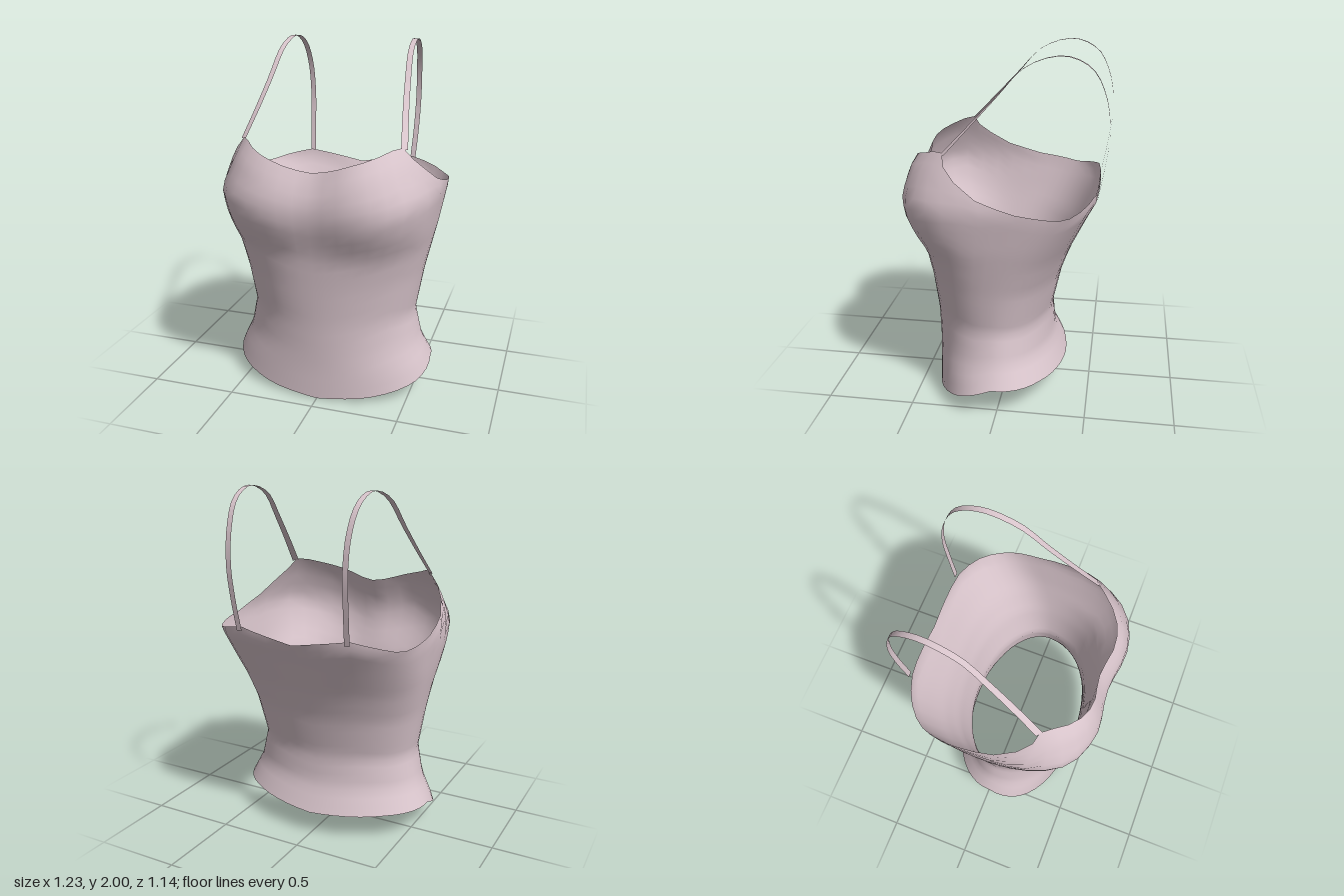
import * as THREE from 'three';

const fabric = new THREE.MeshStandardMaterial({ color: 0xd9c5cc, side: THREE.DoubleSide });
fabric.name = 'pale pink fabric';

// Horizontal sections: height, half width, side z, front z, back z, front and back squareness, centre dip
const SECTIONS = [
  [0.00, 0.66, 0.02, 0.41, -0.42, 2.1, 2.1, 0],
  [0.18, 0.59, 0.02, 0.41, -0.335, 2.1, 2.1, 0],
  [0.30, 0.53, 0.03, 0.415, -0.28, 2, 2, 0],
  [0.48, 0.49, 0.035, 0.425, -0.265, 2, 2, 0],
  [0.73, 0.53, 0.02, 0.45, -0.32, 2.2, 2.2, 0],
  [0.90, 0.565, -0.02, 0.47, -0.38, 2.6, 2.4, 0],
  [1.00, 0.585, -0.05, 0.52, -0.425, 3, 2.6, 0.02],
  [1.10, 0.60, -0.09, 0.565, -0.47, 3.3, 2.8, 0.035],
  [1.20, 0.615, -0.12, 0.577, -0.52, 3.5, 3, 0.04],
  [1.25, 0.615, -0.11, 0.572, -0.525, 3.3, 3, 0.05],
  [1.30, 0.60, -0.08, 0.565, -0.53, 3, 3, 0.06],
  [1.40, 0.56, 0, 0.535, -0.53, 2.7, 3, 0.08],
  [1.46, 0.53, 0, 0.49, -0.53, 2.7, 3, 0.08],
  [1.50, 0.52, 0, 0.44, -0.53, 2.7, 3, 0.08],
];

// Edge heights by angle in degrees: 0 front, 90 side, 180 back
const NECKLINE = [[0, 1.375], [10, 1.39], [18.5, 1.42], [26, 1.44], [37, 1.47], [45, 1.495], [52.5, 1.5],
  [67, 1.38], [72, 1.315], [78, 1.28], [90, 1.235], [124, 1.2], [150, 1.26], [180, 1.2]];
const HEM = [[0, 0], [25, 0.03], [59, 0.1], [90, 0.18], [135, 0.17], [180, 0.14]];

// Linear lookup in a table keyed by its first column
function lookup(table, key) {
  let i = 1;
  while (i < table.length - 1 && table[i][0] < key) i++;
  const a = table[i - 1], b = table[i];
  const t = THREE.MathUtils.clamp((key - a[0]) / (b[0] - a[0]), 0, 1);
  return a.map((v, k) => v + (b[k] - v) * t);
}

// Point on the garment at a given angle and height
function bodyPoint(deg, y) {
  const [, w, side, front, back, nFront, nBack, dip] = lookup(SECTIONS, y);
  const a = THREE.MathUtils.degToRad(deg), s = Math.sin(a), c = Math.cos(a);
  const n = c > 0 ? nFront : nBack;
  const r = (Math.abs(s) ** n + Math.abs(c) ** n) ** (-1 / n);
  const x = w * r * s;
  let z = side + r * c * (c > 0 ? front - side : side - back);
  if (c > 0) z -= dip * Math.exp(-((x / 0.16) ** 2));
  return [x, y, z];
}

// Grid of rows x columns, optionally closed around
function gridGeometry(rows, cols, closed, pointAt) {
  const pos = [], index = [];
  for (let r = 0; r <= rows; r++) {
    for (let c = 0; c < cols; c++) pos.push(...pointAt(r / rows, c));
  }
  for (let r = 0; r < rows; r++) {
    for (let c = 0; c < (closed ? cols : cols - 1); c++) {
      const a = r * cols + c, b = r * cols + (c + 1) % cols;
      index.push(a, b, b + cols, a, b + cols, a + cols);
    }
  }
  const g = new THREE.BufferGeometry();
  g.setAttribute('position', new THREE.Float32BufferAttribute(pos, 3));
  g.setIndex(index);
  g.computeVertexNormals();
  return g;
}

// Fitted tube of cloth between hem and neckline
function makeBody() {
  const cols = 48;
  const g = gridGeometry(24, cols, true, (t, c) => {
    const deg = c * 360 / cols, half = deg > 180 ? 360 - deg : deg;
    const bottom = lookup(HEM, half)[1], top = lookup(NECKLINE, half)[1];
    return bodyPoint(deg, bottom + (top - bottom) * t);
  });
  const mesh = new THREE.Mesh(g, fabric);
  mesh.name = 'bodice';
  return mesh;
}

// Flat ribbon over the shoulder, twisting to meet the neckline
function makeStrap(side) {
  const path = new THREE.CatmullRomCurve3([
    [0.455, 1.49, 0.29], [0.425, 1.64, 0.15], [0.4, 1.79, 0.01], [0.38, 1.945, -0.14], [0.368, 2, -0.33],
    [0.36, 1.94, -0.47], [0.35, 1.8, -0.545], [0.345, 1.61, -0.572], [0.34, 1.43, -0.553], [0.33, 1.24, -0.52],
  ].map(p => new THREE.Vector3(...p)));
  const g = gridGeometry(28, 2, false, (t, c) => {
    const p = path.getPoint(t), k = (c - 0.5) * 0.032;
    return [side * (p.x + k), p.y, p.z - k * 0.7 * Math.max(0, 1 - t * 3)];
  });
  // Reverse the mirrored strap so both face outwards
  if (side < 0) {
    g.setIndex(Array.from(g.index.array).reverse());
    g.computeVertexNormals();
  }
  const mesh = new THREE.Mesh(g, fabric);
  mesh.name = side > 0 ? 'leftStrap' : 'rightStrap';
  return mesh;
}

export function createModel() {
  const model = new THREE.Group();
  model.name = 'camisole';
  model.add(makeBody(), makeStrap(1), makeStrap(-1));
  return model;
}
